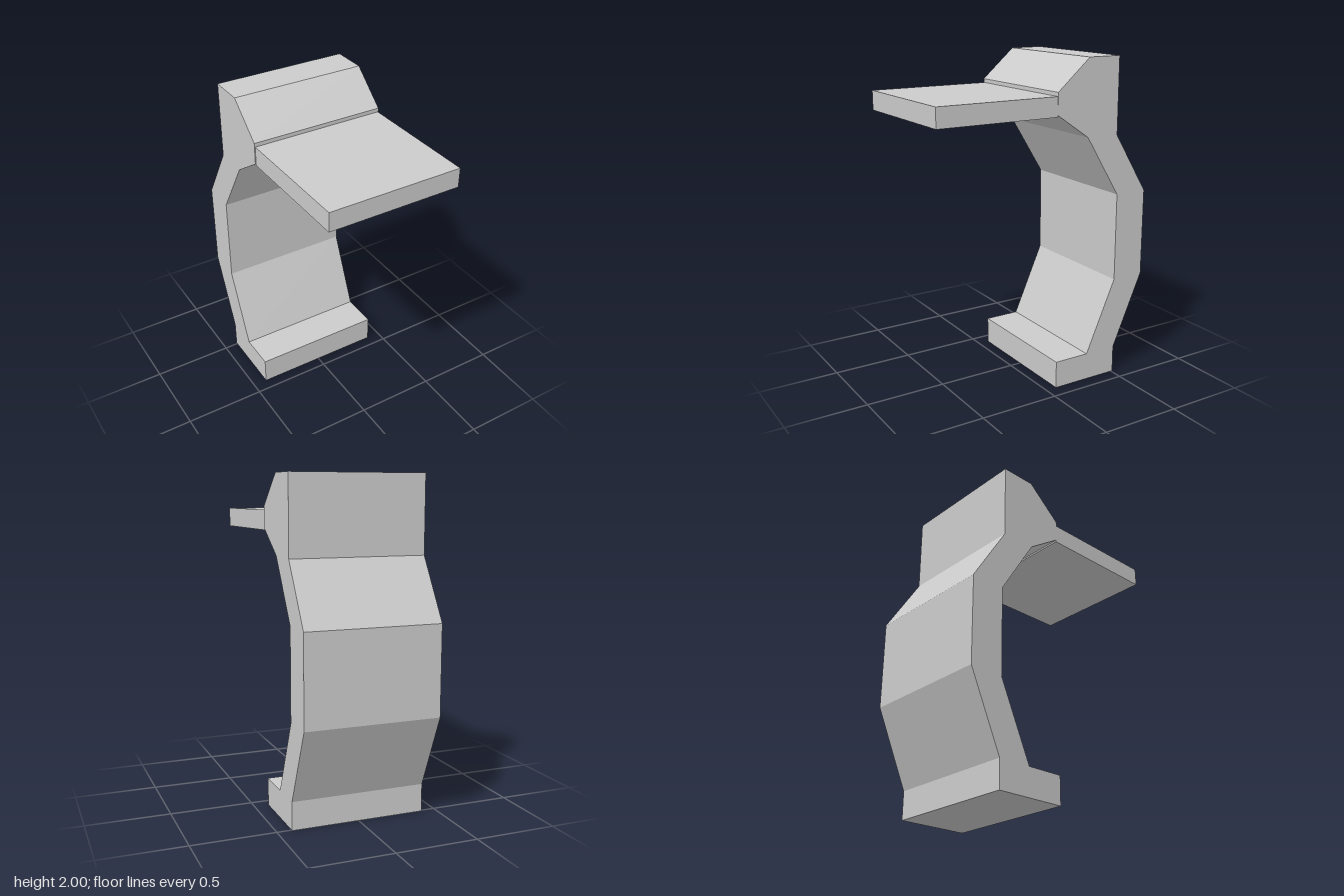
import * as THREE from 'three';

// Extrudes a side profile of [z, y] points across x, centred on x = 0
function extrudeAcross(name, points, width, material) {
  const shape = new THREE.Shape(points.map(([z, y]) => new THREE.Vector2(z, y)));
  const geometry = new THREE.ExtrudeGeometry(shape, { depth: width, bevelEnabled: false });
  geometry.translate(0, 0, -width / 2);
  geometry.rotateY(-Math.PI / 2);
  const mesh = new THREE.Mesh(geometry, material);
  mesh.name = name;
  return mesh;
}

export function createModel() {
  const group = new THREE.Group();
  group.name = 'bracketStand';
  const material = new THREE.MeshStandardMaterial({ color: 0xcccccc, flatShading: true });

  // Foot, bowed back and flared head as one continuous profile
  group.add(extrudeAcross('bowedSupport', [
    [-0.51, 0], [-0.07, 0], [-0.07, 0.17], [-0.3, 0.17],
    [-0.5, 0.625], [-0.5, 1.17], [-0.27, 1.54], [-0.055, 1.685],
    [-0.055, 1.815], [-0.27, 2], [-0.485, 2], [-0.485, 1.535],
    [-0.712, 1.17], [-0.712, 0.63], [-0.51, 0.17],
  ], 0.824, material));

  // Flat shelf projecting forward from the head
  const shelf = new THREE.Mesh(new THREE.BoxGeometry(0.816, 0.117, 0.767), material);
  shelf.name = 'shelf';
  shelf.position.set(0.001, 1.733, 0.3285);
  group.add(shelf);

  return group;
}
